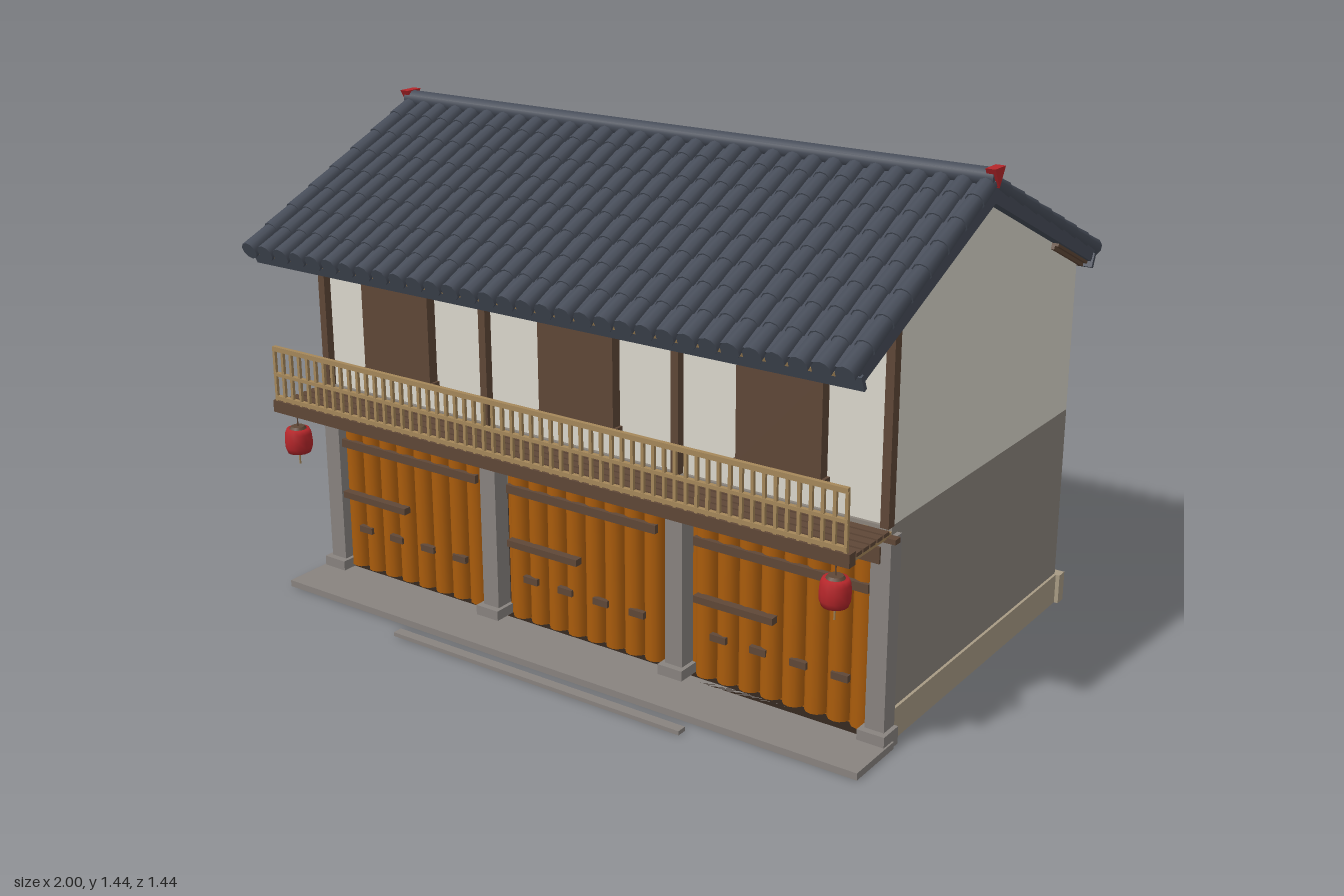
import * as THREE from 'three';
import { mergeGeometries } from 'three/addons/utils/BufferGeometryUtils.js';

const mat = (name, color) => {
  const m = new THREE.MeshStandardMaterial({ color });
  m.name = name;
  return m;
};

export function createModel() {
  const slate = mat('roof slate', 0x474d59);
  const plaster = mat('pale plaster', 0xdad7cc);
  const greyWall = mat('grey wall', 0x8c857d);
  const orange = mat('orange wood', 0xaa5c0c);
  const wood = mat('dark wood', 0x5f4737);
  const bamboo = mat('bamboo', 0xa5875a);
  const red = mat('lantern red', 0xb5262a);
  const sandstone = mat('sandstone', 0xa89b84);
  const stone = mat('post stone', 0x88837f);
  const floorDark = mat('dark floor', 0x30241c);

  const model = new THREE.Group();
  model.name = 'townhouse';

  const add = (name, geo, material, parent = model) => {
    const m = new THREE.Mesh(geo, material);
    m.name = name;
    parent.add(m);
    return m;
  };
  // box given by its limits on each axis
  const boxGeo = (x0, x1, y0, y1, z0, z1) =>
    new THREE.BoxGeometry(x1 - x0, y1 - y0, z1 - z0)
      .translate((x0 + x1) / 2, (y0 + y1) / 2, (z0 + z1) / 2);
  const box = (name, material, ...lim) => add(name, boxGeo(...lim), material);
  // side profile of [z, y] points, extruded along x
  const profile = (name, material, pts, x0, x1) => {
    const shape = new THREE.Shape(pts.map(([z, y]) => new THREE.Vector2(-z, y)));
    const geo = new THREE.ExtrudeGeometry(shape, { depth: x1 - x0, bevelEnabled: false });
    return add(name, geo.rotateY(Math.PI / 2).translate(x0, 0, 0), material);
  };

  // base: floor, plinth and front apron
  box('floor', floorDark, -0.96, 0.96, 0.002, 0.02, -0.62, 0.45);
  box('backPlinth', sandstone, -0.98, 0.98, 0, 0.09, -0.645, -0.61);
  for (const s of [-1, 1]) {
    const a = s * 0.94, b = s * 0.968;
    box('sidePlinth', sandstone, Math.min(a, b), Math.max(a, b), 0, 0.09, -0.62, 0.42);
  }
  box('frontApron', stone, -0.99, 0.99, 0, 0.02, 0.43, 0.62);
  box('frontStep', stone, -0.5, 0.5, 0, 0.012, 0.66, 0.69);

  // lower and upper walls
  for (const x0 of [-0.96, 0.93]) {
    box('lowerSideWall', greyWall, x0, x0 + 0.03, 0.09, 0.61, -0.62, 0.43);
    profile('gableWall', plaster,
      [[0.43, 0.61], [0.43, 1.15], [0, 1.345], [-0.62, 1.07], [-0.62, 0.61]], x0, x0 + 0.03);
  }
  box('lowerBackWall', greyWall, -0.93, 0.93, 0.09, 0.61, -0.62, -0.59);
  box('upperBackWall', plaster, -0.93, 0.93, 0.61, 1.07, -0.62, -0.59);
  box('upperFrontWall', plaster, -0.93, 0.93, 0.61, 1.15, 0.4, 0.43);
  box('frontTransom', greyWall, -0.95, 0.95, 0.555, 0.61, 0.4, 0.44);

  // stone posts with wider feet
  for (const x of [-0.945, -0.33, 0.32, 0.945]) {
    box('stonePost', stone, x - 0.028, x + 0.028, 0, 0.585, 0.4, 0.455);
    box('postFoot', stone, x - 0.04, x + 0.04, 0, 0.05, 0.4, 0.475);
  }

  // three shop bays with rounded upright boards
  for (const [x0, x1] of [[-0.92, -0.37], [-0.275, 0.265], [0.37, 0.92]]) {
    const n = 8, w = (x1 - x0) / n;
    box('doorBacking', orange, x0 - 0.02, x1 + 0.02, 0.02, 0.53, 0.395, 0.405);
    for (let i = 0; i < n; i++) {
      const g = new THREE.CylinderGeometry(w * 0.48, w * 0.48, 0.49, 12);
      add('doorBoard', g, orange).position.set(x0 + w * (i + 0.5), 0.275, 0.41);
    }
    box('doorLintel', wood, x0 - 0.025, x1 + 0.025, 0.515, 0.56, 0.42, 0.462);
    box('upperDoorRail', wood, x0 + 0.01, x1 - 0.01, 0.42, 0.445, 0.435, 0.45);
    box('doorLatch', wood, x0 + 0.02, x0 + 0.27, 0.262, 0.282, 0.44, 0.465);
    for (let i = 0; i < 4; i++) {
      const x = x0 + 0.09 + i * 0.125;
      box('lowerDoorPeg', wood, x - 0.025, x + 0.025, 0.155, 0.175, 0.435, 0.45);
    }
  }

  // shutters on the front, posts and red sign
  for (const x of [-0.655, 0, 0.645]) {
    box('frontShutter', wood, x - 0.127, x + 0.127, 0.69, 0.97, 0.43, 0.462);
    box('shutterSill', wood, x - 0.135, x + 0.135, 0.685, 0.7, 0.43, 0.47);
  }
  for (const x of [-0.952, -0.332, 0.322, 0.952]) {
    box('upperPost', wood, x - 0.012, x + 0.012, 0.61, 1.14, 0.425, 0.455);
  }
  box('signBoard', wood, -0.14, 0.13, 0.96, 1.045, 0.43, 0.45);
  box('signFace', red, -0.13, 0.125, 0.968, 1.04, 0.45, 0.468);

  // back shutters with frame, middle bar and sill
  for (const x of [-0.48, 0.48]) {
    box('backShutter', wood, x - 0.1, x + 0.1, 0.75, 0.965, -0.63, -0.618);
    box('backShutterBar', wood, x - 0.07, x + 0.07, 0.855, 0.867, -0.636, -0.628);
    for (const y of [0.75, 0.955]) {
      box('backShutterTrim', wood, x - 0.106, x + 0.106, y, y + 0.012, -0.638, -0.618);
    }
  }

  // balcony: edge beams, floor boards and joists
  box('balconyFrontBeam', wood, -0.97, 0.97, 0.582, 0.618, 0.628, 0.658);
  box('balconyWallBeam', wood, -0.99, 0.99, 0.578, 0.592, 0.44, 0.465);
  for (let i = 0; i < 5; i++) {
    const z = 0.462 + i * 0.034;
    box('balconyBoard', wood, -0.97, 0.97, 0.6, 0.61, z, z + 0.026);
  }
  for (let i = 0; i < 30; i++) {
    const x = -0.957 + i * 0.066;
    box('balconyJoist', bamboo, x - 0.008, x + 0.008, 0.588, 0.6, 0.44, 0.64);
  }
  // railing
  for (const [y, r] of [[0.778, 0.007], [0.7, 0.005], [0.628, 0.006]]) {
    box('railing', bamboo, -0.96, 0.96, y - r, y + r, 0.645, 0.658);
  }
  for (let i = 0; i <= 58; i++) {
    const x = -0.957 + (i * 1.914) / 58;
    box('baluster', bamboo, x - 0.0045, x + 0.0045, 0.615, 0.775, 0.647, 0.656);
  }

  // hanging lanterns
  const bulge = [[0, -0.037], [0.034, -0.037], [0.04, -0.02], [0.041, 0], [0.039, 0.022], [0.033, 0.036], [0, 0.036]]
    .map(([r, y]) => new THREE.Vector2(r, y));
  for (const x of [-0.92, 0.91]) {
    const lantern = new THREE.Group();
    lantern.name = 'lantern';
    lantern.position.set(x, 0.492, 0.615);
    model.add(lantern);
    add('lanternBody', new THREE.LatheGeometry(bulge, 14), red, lantern);
    add('lanternCap', new THREE.CylinderGeometry(0.02, 0.026, 0.008, 12).translate(0, 0.039, 0), wood, lantern);
    add('lanternCord', new THREE.CylinderGeometry(0.002, 0.002, 0.06, 5).translate(0, 0.068, 0), wood, lantern);
    add('lanternTassel', new THREE.CylinderGeometry(0.003, 0.003, 0.04, 5).translate(0, -0.056, 0), bamboo, lantern);
  }

  // roof slab, a chevron in side view
  const slope = 0.45, angle = Math.atan(slope);
  profile('roofSlab', slate,
    [[0, 1.345], [0.65, 1.052], [0.69, 1.09], [0, 1.4], [-0.69, 1.09], [-0.65, 1.052]], -0.99, 0.99);

  // one column of overlapping round tiles, repeated across each slope
  const columns = 32, courses = 8, start = -0.035, end = 0.75;
  const step = (end - start) / courses;
  const tiles = [];
  for (let c = 0; c < columns; c++) {
    const x = -0.97 + (c * 1.94) / (columns - 1);
    for (let k = 0; k < courses; k++) {
      tiles.push(new THREE.CylinderGeometry(0.023, 0.027, step + 0.004, 10)
        .rotateX(-Math.PI / 2).translate(x, 0.053, start + step * (k + 0.5)));
    }
  }
  const tileGeo = mergeGeometries(tiles);
  for (const back of [false, true]) {
    const side = new THREE.Group();
    side.name = back ? 'backRoofSlope' : 'frontRoofSlope';
    if (back) side.rotation.y = Math.PI;
    model.add(side);
    const tilt = new THREE.Group();
    tilt.name = 'slope';
    tilt.position.y = 1.34;
    tilt.rotation.x = angle;
    side.add(tilt);
    add('roofTiles', tileGeo, slate, tilt);
    add('eaveBoard', boxGeo(-0.98, 0.98, -0.004, 0.004, 0.48, 0.712), wood, tilt);
    add('eaveBatten', boxGeo(-0.98, 0.98, 0.03, 0.042, 0.69, 0.738), bamboo, tilt);
    add('eaveEdge', boxGeo(-0.995, 0.995, -0.012, 0.03, 0.714, 0.726), slate, tilt);
    for (let i = 0; i < 17; i++) {
      const x = -0.96 + i * 0.12;
      add('rafter', boxGeo(x - 0.01, x + 0.01, -0.014, -0.002, 0.48, 0.71), wood, tilt);
    }
  }

  // ridge with red end caps pointing down
  add('ridge', new THREE.CylinderGeometry(0.025, 0.025, 1.98, 12).rotateZ(Math.PI / 2), slate)
    .position.set(0, 1.412, 0);
  for (const x0 of [-0.998, 0.97]) {
    profile('ridgeEnd', red, [[0.03, 1.438], [-0.03, 1.438], [0, 1.385]], x0, x0 + 0.028);
  }
  return model;
}
